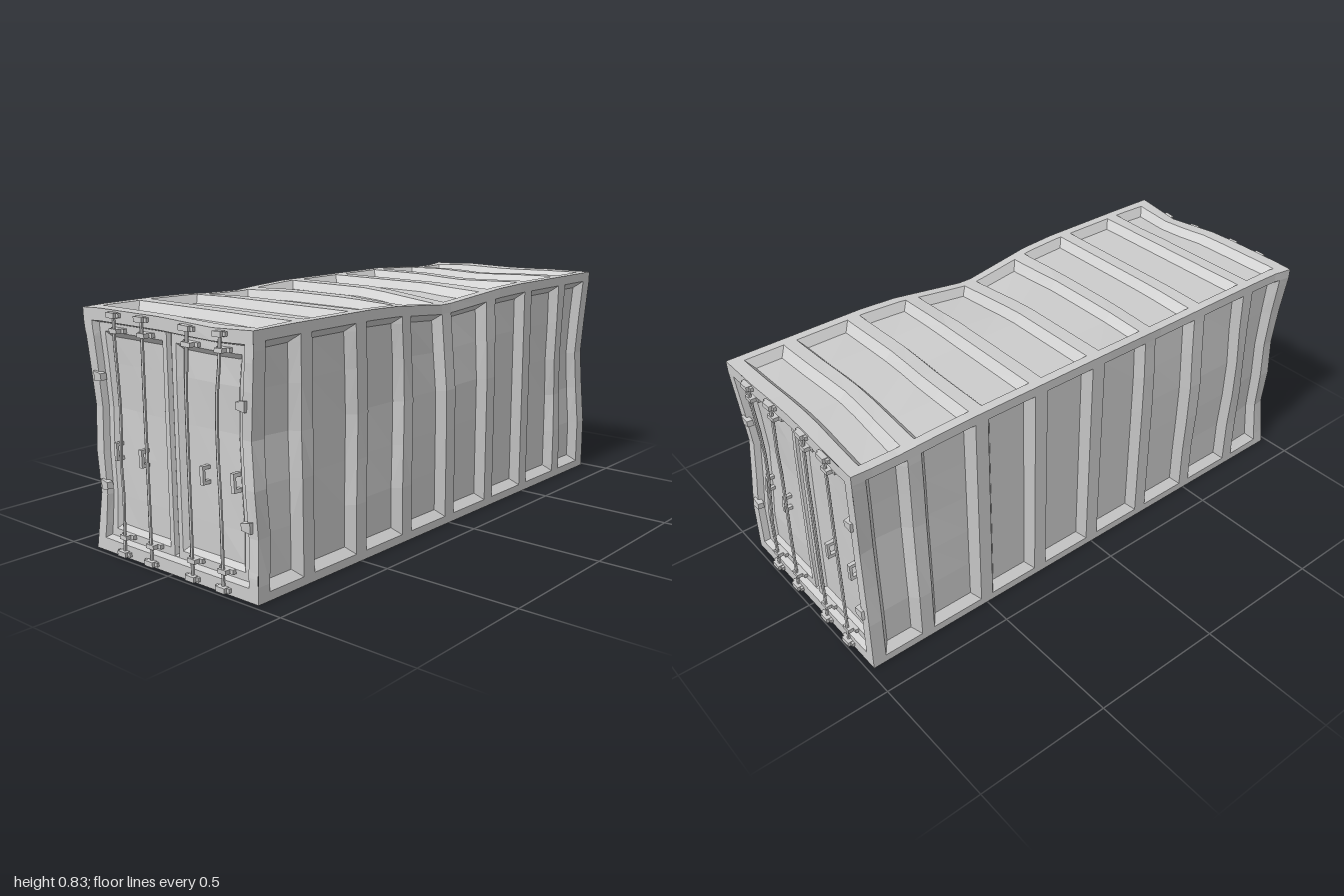
import * as THREE from 'three';

const W = 0.39, H = 0.835, L = 0.98; // half width, height, half length of the body

const material = new THREE.MeshStandardMaterial({ color: 0xcccccc, flatShading: true });

// Dents: centre, reach, push
const DENTS = [
  [[0.39, 0.835, 0], 0.36, [-0.03, -0.035, 0]],
  [[0.39, 0.5, 0.42], 0.3, [-0.015, 0, -0.03]],
  [[0.39, 0.5, 0.98], 0.25, [-0.025, 0, -0.012]],
  [[0.39, 0.2, 0.94], 0.13, [-0.012, 0, -0.02]],
  [[0.39, 0.5, -0.96], 0.3, [-0.015, 0, 0.025]],
  [[0.39, 0.35, -0.75], 0.2, [-0.01, 0, -0.015]],
  [[-0.39, 0.5, 0.98], 0.26, [0.02, 0, -0.012]],
  [[-0.39, 0.2, 0.98], 0.2, [0.025, 0, -0.01]],
  [[-0.4, 0.82, 0.98], 0.09, [-0.012, -0.005, 0]],
  [[-0.39, 0.45, 0.63], 0.25, [-0.012, 0, 0.01]],
  [[-0.39, 0.5, -0.9], 0.3, [0.025, 0, 0.01]],
  [[0.2, 0.835, 0.98], 0.22, [0, -0.014, -0.02]],
  [[0.24, 0.45, 0.98], 0.25, [-0.012, 0, -0.008]],
  [[-0.2, 0.5, 0.98], 0.25, [-0.012, 0, -0.008]],
  [[0.1, 0.5, -0.98], 0.3, [0.015, 0, 0.012]],
  [[0, 0.835, -0.8], 0.28, [0, -0.012, 0.025]],
  [[0.1, 0.835, -0.5], 0.22, [0, -0.008, 0.015]],
  [[-0.39, 0.835, -0.85], 0.25, [0.01, -0.02, 0]],
  [[-0.39, 0.835, 0.35], 0.25, [0.015, -0.015, 0]],
];

function dent(geometry) {
  const pos = geometry.attributes.position;
  const p = new THREE.Vector3(), q = new THREE.Vector3(), push = new THREE.Vector3();
  for (let i = 0; i < pos.count; i++) {
    p.fromBufferAttribute(pos, i);
    q.copy(p);
    for (const [c, reach, d] of DENTS) {
      const t = 1 - p.distanceTo(push.set(...c)) / reach;
      if (t > 0) q.addScaledVector(push.set(...d), t);
    }
    pos.setXYZ(i, q.x, q.y, q.z);
  }
  geometry.computeVertexNormals();
  return geometry;
}

const sorted = (values) => [...new Set(values.map((v) => +v.toFixed(4)))].sort((a, b) => a - b);

// One wall as a grid sunk by sloped rectangular recesses { u, v, inset, depth }
function recessedWall(us, vs, recesses, place) {
  for (const r of recesses) {
    us = us.concat(r.u[0], r.u[0] + r.inset, r.u[1] - r.inset, r.u[1]);
    vs = vs.concat(r.v[0], r.v[0] + r.inset, r.v[1] - r.inset, r.v[1]);
  }
  us = sorted(us);
  vs = sorted(vs);
  const depthAt = (u, v) => recesses.reduce((sum, r) => {
    const inside = Math.min(u - r.u[0], r.u[1] - u, v - r.v[0], r.v[1] - v);
    return sum + r.depth * THREE.MathUtils.clamp(inside / r.inset, 0, 1);
  }, 0);
  const out = [];
  for (let i = 0; i < us.length - 1; i++) {
    for (let j = 0; j < vs.length - 1; j++) {
      const [a, b, c, d] = [[i, j], [i + 1, j], [i + 1, j + 1], [i, j + 1]].map(([m, n]) => {
        const depth = depthAt(us[m], vs[n]);
        return { depth, xyz: place(us[m], vs[n], depth) };
      });
      // Run the diagonal through the odd corner so that recess corners are mitred
      const mitre = Math.abs(a.depth - c.depth) > 1e-4;
      for (const k of mitre ? [a, b, c, a, c, d] : [a, b, d, b, c, d]) out.push(...k.xyz);
    }
  }
  const geometry = new THREE.BufferGeometry();
  geometry.setAttribute('position', new THREE.Float32BufferAttribute(out, 3));
  return dent(geometry);
}

export function createModel() {
  const group = new THREE.Group();
  const add = (name, geometry, parent = group) => {
    const mesh = new THREE.Mesh(geometry, material);
    mesh.name = name;
    parent.add(mesh);
  };

  // Eight sunken panels along the length, symmetric about the middle
  const half = [[0.027, 0.228], [0.28, 0.475], [0.525, 0.73], [0.78, 0.93]];
  const spans = [...half, ...half.map(([a, b]) => [-b, -a])];
  const xs = [-W, -0.2, -0.1, 0, 0.1, 0.2, W];
  const ys = [0, 0.2, 0.35, 0.5, 0.65, H];
  const zs = [-L, L];

  const sidePanels = spans.map((u) => ({ u, v: [0.03, 0.8], inset: 0.026, depth: 0.03 }));
  const flatPanels = spans.map((v) => ({ u: [-0.355, 0.355], v, inset: 0.026, depth: 0.03 }));
  add('rightSide', recessedWall(zs, ys, sidePanels, (u, v, d) => [W - d, v, -u]));
  add('leftSide', recessedWall(zs, ys, sidePanels, (u, v, d) => [d - W, v, u]));
  add('roof', recessedWall(xs, zs, flatPanels, (u, v, d) => [u, H - d, -v]));
  add('floor', recessedWall(xs, zs, flatPanels, (u, v, d) => [u, d, v]));

  // Door ends: opening, centre seam and one sunken panel per door
  const doorRecesses = [
    { u: [-0.35, 0.35], v: [0.045, 0.793], inset: 0.008, depth: 0.022 },
    { u: [-0.011, 0.011], v: [0.055, 0.785], inset: 0.005, depth: 0.014 },
    { u: [-0.315, -0.03], v: [0.08, 0.757], inset: 0.018, depth: 0.015 },
    { u: [0.03, 0.315], v: [0.08, 0.757], inset: 0.018, depth: 0.015 },
  ];

  for (const [endName, s] of [['front', 1], ['back', -1]]) {
    const end = new THREE.Group();
    end.name = endName + 'Doors';
    group.add(end);
    add('doorWall', recessedWall(xs, ys, doorRecesses, (u, v, d) => [s * u, v, s * (L - d)]), end);

    // Fittings are set in place on the front, turned to their end, then dented
    const fit = (name, geometry, x, y, z) => {
      geometry.translate(x, y, z);
      if (s < 0) geometry.rotateY(Math.PI);
      add(name, dent(geometry), end);
    };

    for (const x of [-0.235, -0.097, 0.102, 0.242]) {
      fit('lockingRod', new THREE.CylinderGeometry(0.006, 0.006, 0.81, 6, 8), x, 0.42, 0.984);
      for (const y of [0.017, 0.82]) {
        fit('rodKeeper', new THREE.BoxGeometry(0.04, 0.018, 0.025), x, y, 0.9875);
        fit('keeperPlate', new THREE.BoxGeometry(0.062, 0.014, 0.012), x, y, 0.984);
      }
      for (const y of [0.073, 0.768]) {
        fit('rodGuide', new THREE.BoxGeometry(0.036, 0.015, 0.035), x, y, 0.9735);
        fit('guidePlate', new THREE.BoxGeometry(0.062, 0.015, 0.016), x, y, 0.963);
      }
    }

    // Door handles: a grip with a foot at each end
    for (const x of [-0.285, -0.143, 0.149, 0.29]) {
      fit('handleGrip', new THREE.BoxGeometry(0.015, 0.06, 0.01), x, 0.356, 0.97);
      for (const y of [0.332, 0.38]) {
        fit('handleFoot', new THREE.BoxGeometry(0.015, 0.012, 0.028), x, y, 0.957);
      }
    }

    // Tapered hinges, narrowing toward the door
    for (const side of [-1, 1]) {
      for (const y of [0.235, 0.605]) {
        const hinge = new THREE.BoxGeometry(0.044, 0.036, 0.022);
        const pos = hinge.attributes.position;
        for (let i = 0; i < pos.count; i++) {
          if (pos.getX(i) * side < 0) pos.setY(i, pos.getY(i) * 0.65);
          if (pos.getZ(i) > 0) pos.setX(i, pos.getX(i) * 0.85);
        }
        fit('hinge', hinge, side * 0.348, y, 0.979);
      }
    }
  }
  return group;
}
